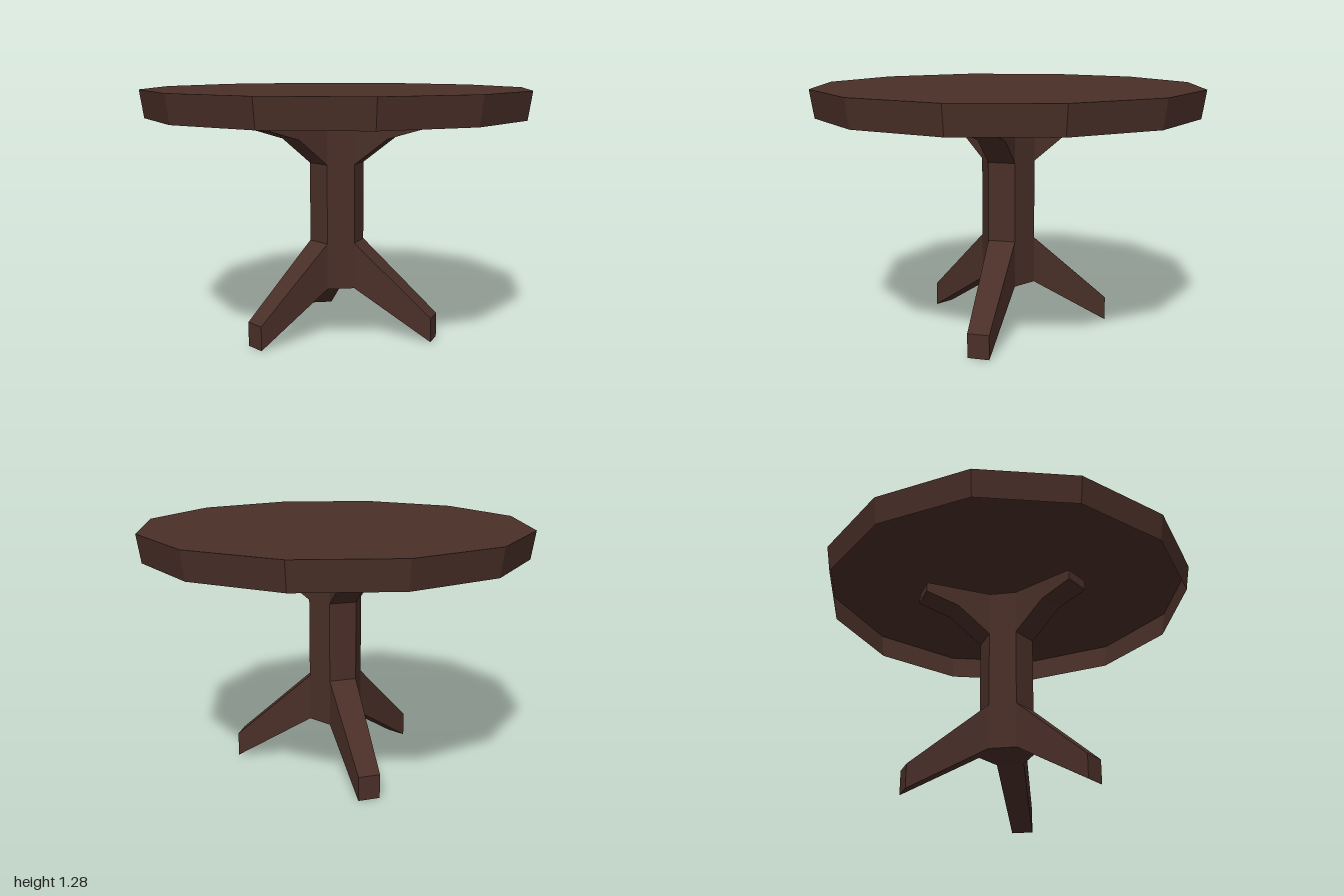
import * as THREE from 'three';

const darkWood = new THREE.MeshStandardMaterial({ color: 0x4a2f28, side: THREE.DoubleSide });
darkWood.name = 'darkWood';
darkWood.flatShading = true;

const columnRadius = 0.142;
const face = columnRadius * Math.cos(Math.PI / 6); // centre to flat of the hexagon
const halfWidth = columnRadius / 2;
const rimBottom = 1.142;
const rimTop = 1.285;

function mesh(name, geometry, y = 0) {
  const m = new THREE.Mesh(geometry, darkWood);
  m.name = name;
  m.position.y = y;
  return m;
}

// Side profile growing out along +x from a column face, narrowing to endHalf at its tip
function arm(points, endHalf) {
  const shape = new THREE.Shape(points.map(([x, y]) => new THREE.Vector2(x, y)));
  const geometry = new THREE.ExtrudeGeometry(shape, { depth: 2 * halfWidth, bevelEnabled: false });
  geometry.translate(0, 0, -halfWidth);
  const tip = Math.max(...points.map((p) => p[0]));
  const pos = geometry.attributes.position;
  for (let i = 0; i < pos.count; i++) {
    const t = (pos.getX(i) - face) / (tip - face);
    pos.setZ(i, Math.sign(pos.getZ(i)) * THREE.MathUtils.lerp(halfWidth, endHalf, t));
  }
  geometry.computeVertexNormals();
  return geometry;
}

export function createModel() {
  const table = new THREE.Group();
  table.name = 'roundTable';

  // Twelve-sided top: a flat disc with a thin, inward-leaning rim, hollow underneath
  table.add(mesh('tableTop', new THREE.CircleGeometry(1, 12).rotateX(-Math.PI / 2), rimTop));
  const rim = new THREE.CylinderGeometry(1, 0.978, rimTop - rimBottom, 12, 1, true);
  table.add(mesh('tableRim', rim, (rimTop + rimBottom) / 2));

  // Hexagonal column
  const columnBottom = 0.252;
  const column = new THREE.CylinderGeometry(columnRadius, columnRadius, rimBottom - columnBottom, 6);
  table.add(mesh('column', column, (rimBottom + columnBottom) / 2));

  // Three splayed legs, each with a bracket above it
  const legGeometry = arm([[face, columnBottom], [0.533, 0], [0.533, 0.125], [face, 0.492]], 0.056);
  const bracketGeometry = arm(
    [[face, 0.902], [0.298, 1.038], [0.474, 1.09], [0.474, rimBottom], [face, rimBottom]], halfWidth);
  for (let i = 0; i < 3; i++) {
    const leg = mesh('leg', legGeometry);
    const bracket = mesh('bracket', bracketGeometry);
    leg.rotation.y = bracket.rotation.y = (i * Math.PI * 2) / 3;
    table.add(leg, bracket);
  }
  return table;
}
